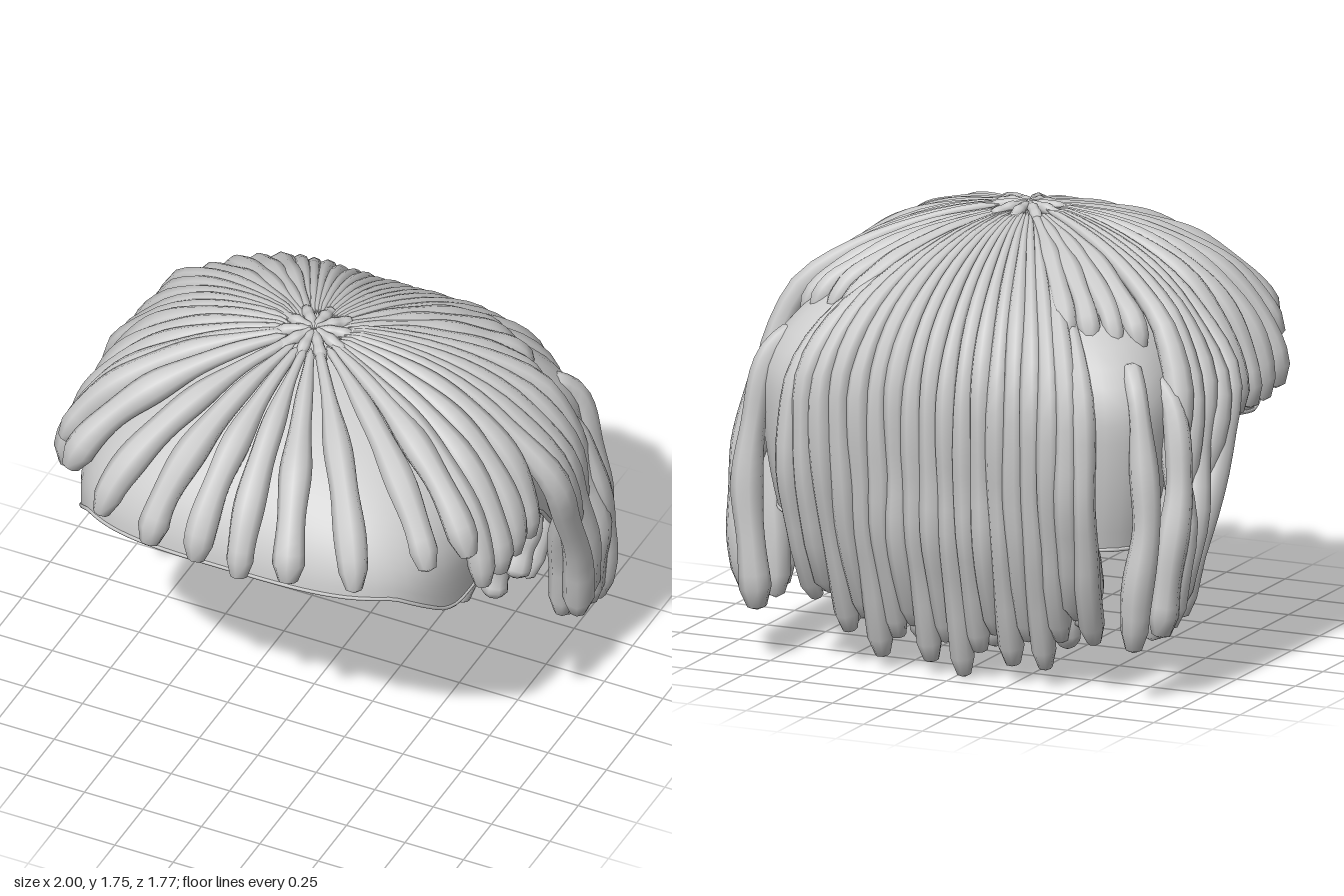
import * as THREE from 'three';
import { mergeVertices } from 'three/addons/utils/BufferGeometryUtils.js';

const hair = new THREE.MeshStandardMaterial({ color: 0xcccccc, side: THREE.DoubleSide });
hair.name = 'light grey';

const HALF = Math.PI / 2, BASE = 1.1, H = 0.59;
const V = (x, y, z) => new THREE.Vector3(x, y, z);
const mix = THREE.MathUtils.lerp;

// Point on the cap: angle a in plan (+z is front), s runs from the crown (0) past the widest line (PI/2)
function dome(a, s, off = 0) {
  const k = Math.sin(Math.min(s, HALF)), c = Math.cos(a), d = Math.sin(a);
  const drop = Math.max(0, s - HALF) * 0.6;
  const n = mix(2, d > 0 ? 3.5 : 5, Math.pow(k, 1.5));
  const r = Math.pow(Math.pow(Math.abs(c) / (0.81 + off), n) + Math.pow(Math.abs(d) / (0.78 + off), n), -1 / n);
  // The back corners swell, the front slopes a little lower
  const swell = d < 0 ? 1 + 0.1 * Math.pow(Math.sin(2 * a), 4) * k * k : 1;
  const w = r * k * swell * (1 - 0.25 * drop * drop);
  const y = s < HALF ? BASE + (H + off) * Math.cos(s) - 0.035 * Math.max(0, d) * Math.sin(2 * s) : BASE - drop;
  return V(c * w, y, d * w);
}
const sAt = y => y > BASE ? Math.acos(Math.min(1, (y - BASE) / (H + 0.05))) : HALF + (BASE - y) / 0.6;

// Height of the cap's lower edge, by depth
const EDGE = [[-0.8, 0.6], [-0.62, 0.61], [-0.48, 0.72], [-0.3, 0.92], [-0.1, 0.97], [0.1, 0.96],
  [0.36, 0.92], [0.46, 0.95], [0.66, 1.1], [0.8, 1.12]];
function edgeY(z) {
  for (let i = 1; i < EDGE.length; i++) {
    const [z0, y0] = EDGE[i - 1], [z1, y1] = EDGE[i];
    if (z <= z1) return mix(y0, y1, (z - z0) / (z1 - z0));
  }
  return 1.12;
}
const edgeS = a => sAt(edgeY(dome(a, HALF).z));

function makeCap() {
  const N = 96, M = 20, pos = [], idx = [];
  for (let j = 0; j <= M; j++) for (let i = 0; i < N; i++) {
    const a = i / N * Math.PI * 2;
    pos.push(...dome(a, Math.max(0.001, edgeS(a) * j / M)).toArray());
  }
  for (let j = 0; j < M; j++) for (let i = 0; i < N; i++) {
    const p = j * N + i, q = j * N + (i + 1) % N;
    idx.push(p, q, p + N, q, q + N, p + N);
  }
  const g = new THREE.BufferGeometry();
  g.setAttribute('position', new THREE.Float32BufferAttribute(pos, 3));
  g.setIndex(idx);
  g.computeVertexNormals();
  return g;
}

let count = 0;
// Tapered, slightly knobbly strand with a blunt closed tip; root is the relative thickness at the start
function lockGeometry(points, radius, root) {
  const SEG = 24, SIDES = 8, curve = new THREE.CatmullRomCurve3(points), len = curve.getLength();
  const g = new THREE.TubeGeometry(curve, SEG, 1, SIDES);
  const p = g.attributes.position, v = V(0, 0, 0), seed = count++ * 2.4;
  for (let i = 0; i <= SEG; i++) {
    const u = i / SEG, c = curve.getPointAt(u);
    let r = radius * mix(root, 1, THREE.MathUtils.smoothstep(u, 0, 0.6)) * (1 + 0.08 * Math.sin(u * 17 + seed));
    let centre = c;
    if (i === SEG || i === 0) r = 0.0005;
    // The last two rings crowd the tip so that it stays blunt
    else if (i >= SEG - 2) {
      const last = i === SEG - 1;
      centre = curve.getPointAt(1 - Math.min((last ? 0.015 : 0.09) / len, (last ? 1 : 2) / SEG));
      r *= last ? 0.6 : 1;
    }
    for (let j = 0; j <= SIDES; j++) {
      const k = i * (SIDES + 1) + j;
      v.fromBufferAttribute(p, k).sub(c).multiplyScalar(r).add(centre);
      p.setXYZ(k, v.x, v.y, v.z);
    }
  }
  g.deleteAttribute('uv');
  g.deleteAttribute('normal');
  const m = mergeVertices(g, 1e-5);
  m.computeVertexNormals();
  return m;
}

export function createModel() {
  const model = new THREE.Group();
  model.name = 'wig';
  const add = (name, geo, parent = model) => {
    const m = new THREE.Mesh(geo, hair);
    m.name = name;
    parent.add(m);
    return m;
  };
  const section = name => {
    const g = new THREE.Group();
    g.name = name;
    model.add(g);
    return g;
  };
  const lock = (parent, name, pts, r, root = 0.3) => add(name, lockGeometry(pts, r, root), parent);
  // Run of points over the cap from near the crown down to height y
  const over = (a, y, off = 0.045, flare = 0) => {
    const pts = [], end = sAt(y);
    for (let i = 0; i <= 6; i++) {
      const t = i / 6;
      pts.push(dome(a, mix(0.12, end, t), off + flare * t * t));
    }
    return pts;
  };

  // Cap and its rounded edge
  add('cap', makeCap());
  const edge = [];
  for (let i = 0; i < 72; i++) {
    const a = i / 72 * Math.PI * 2;
    edge.push(dome(a, edgeS(a)));
  }
  add('capEdge', new THREE.TubeGeometry(new THREE.CatmullRomCurve3(edge, true), 144, 0.008, 6, true));

  // Crown: small petals where the locks meet
  const crown = section('crown');
  for (let i = 0; i < 10; i++) {
    const a = i / 10 * Math.PI * 2 + 0.3;
    lock(crown, 'crownLock', [dome(a, 0.01, 0.045), dome(a, 0.1, 0.045), dome(a, 0.2, 0.03)], 0.024, 0.7);
  }

  // Fringe: tip x, z and y
  const fringe = section('fringe');
  for (const [x, z, y] of [[-0.77, 0.58, 1.21], [-0.55, 0.78, 1.19], [-0.32, 0.85, 1.16], [-0.11, 0.86, 1.15],
    [0.08, 0.86, 1.13], [0.29, 0.84, 1.17], [0.55, 0.78, 1.18], [0.77, 0.58, 1.22]])
    lock(fringe, 'fringeLock', over(Math.atan2(z, x), y, 0.045, 0.01), 0.06);

  const sides = section('sideLocks');
  const back = section('backLocks');
  for (const m of [1, -1]) {
    const flip = pts => pts.map(p => V(p.x * m, p.y, p.z));
    // Short locks over the ears
    for (const [z, y] of [[0.45, 1.2], [0.36, 1.02], [0.22, 1.0], [0.09, 1.0], [-0.04, 1.0]])
      lock(sides, 'earLock', flip(over(Math.atan2(z, 0.93), y, 0.045, 0.045)), 0.058);
    // Long locks sweeping backward and down
    [0.3, 0.25, 0.34, 0.22, 0.28].forEach((tip, j) => {
      const t = j / 4, w = j % 2 ? -0.06 : 0.02, x = mix(0.93, 0.86, t);
      lock(sides, 'longSideLock', flip([
        ...over(-mix(0.17, 0.5, t), 1.42, 0.05, 0.01),
        V(x, 1.2, -mix(0.18, 0.48, t)), V(x + 0.01, 0.95, -mix(0.28, 0.54, t)),
        V(0.91 + w, 0.7, -mix(0.4, 0.58, t)), V(0.88 + w, 0.48, -mix(0.48, 0.6, t)),
        V(0.86 + w, tip, -mix(0.51, 0.62, t))]), 0.058);
    });
    // Locks hanging from the back corners
    lock(sides, 'cornerLock', flip([V(0.7, 1.32, -0.6), V(0.78, 1.22, -0.69), V(0.83, 0.95, -0.73),
      V(0.85, 0.7, -0.75), V(0.82, 0.45, -0.77), V(0.8, 0.21, -0.76)]), 0.06, 0.7);
    lock(sides, 'cornerLock', flip([V(0.76, 1.25, -0.5), V(0.86, 1.15, -0.54), V(0.92, 0.85, -0.6),
      V(0.91, 0.55, -0.67), V(0.88, 0.26, -0.68)]), 0.06, 0.7);
    // Locks that sink into the cap above the corner
    for (const [a, y] of [[-0.62, 1.46], [-0.73, 1.5], [-0.84, 1.52], [-0.95, 1.5]])
      lock(back, 'shortBackLock', flip([...over(a, y, 0.03, -0.02), dome(a, sAt(y - 0.1), -0.04)]), 0.045, 0.4);
    // Inner locks at the back corners
    lock(back, 'innerCornerLock', flip([V(0.6, 1.25, -0.76), V(0.6, 1.05, -0.74), V(0.58, 0.87, -0.77)]), 0.06, 0.8);
  }

  // Sheet of locks down the back; the outer ones dip under the swollen corners
  const N = 18;
  for (let i = 0; i < N; i++) {
    const t = i / (N - 1) * 2 - 1, x = 0.62 * t, dip = 0.07 * Math.pow(t, 6);
    const tip = [0.05, 0.18, 0.11, 0.01, 0.14][i % 5] + 0.15 * t * t;
    lock(back, 'backLock', [...over(Math.atan2(-0.83, x), 0.8, 0.045 - dip, dip),
      V(x, 0.6, -0.8), V(x * 0.97, 0.38, -0.74), V(x * 0.95, tip, -0.66)], 0.048);
  }

  // Under layer: each root shows as a bead inside the cap, the lock hangs below its edge
  const under = section('underLocks');
  [-0.65, -0.46, -0.26, -0.09, 0.07, 0.24, 0.44, 0.63].forEach((x, i) => {
    const bead = add('rootBead', new THREE.SphereGeometry(i % 7 ? 0.034 : 0.025, 12, 8), under);
    bead.position.set(x, 0.88, -0.765);
  });
  for (let i = 0; i < 12; i++) {
    const x = -0.58 + i * 0.1055, sway = [0.015, 0.005, -0.01][i % 3];
    lock(under, 'underLock', [V(x, 0.66, -0.77), V(x - sway, 0.53, -0.71), V(x + sway, 0.4, -0.66),
      V(x * 0.97 + sway, [0.2, 0.13, 0.24][i % 3] + 0.12 * x * x, -0.62)], 0.055, 0.7);
  }

  // Row of small tips on the inside back wall
  for (let i = 0; i < 11; i++) {
    const x = -0.48 + i * 0.096;
    lock(under, 'innerTip', [V(x, 1.2, -0.77), V(x, 1.12, -0.765), V(x, 1.02, -0.785)], 0.027, 0.9);
  }
  return model;
}
